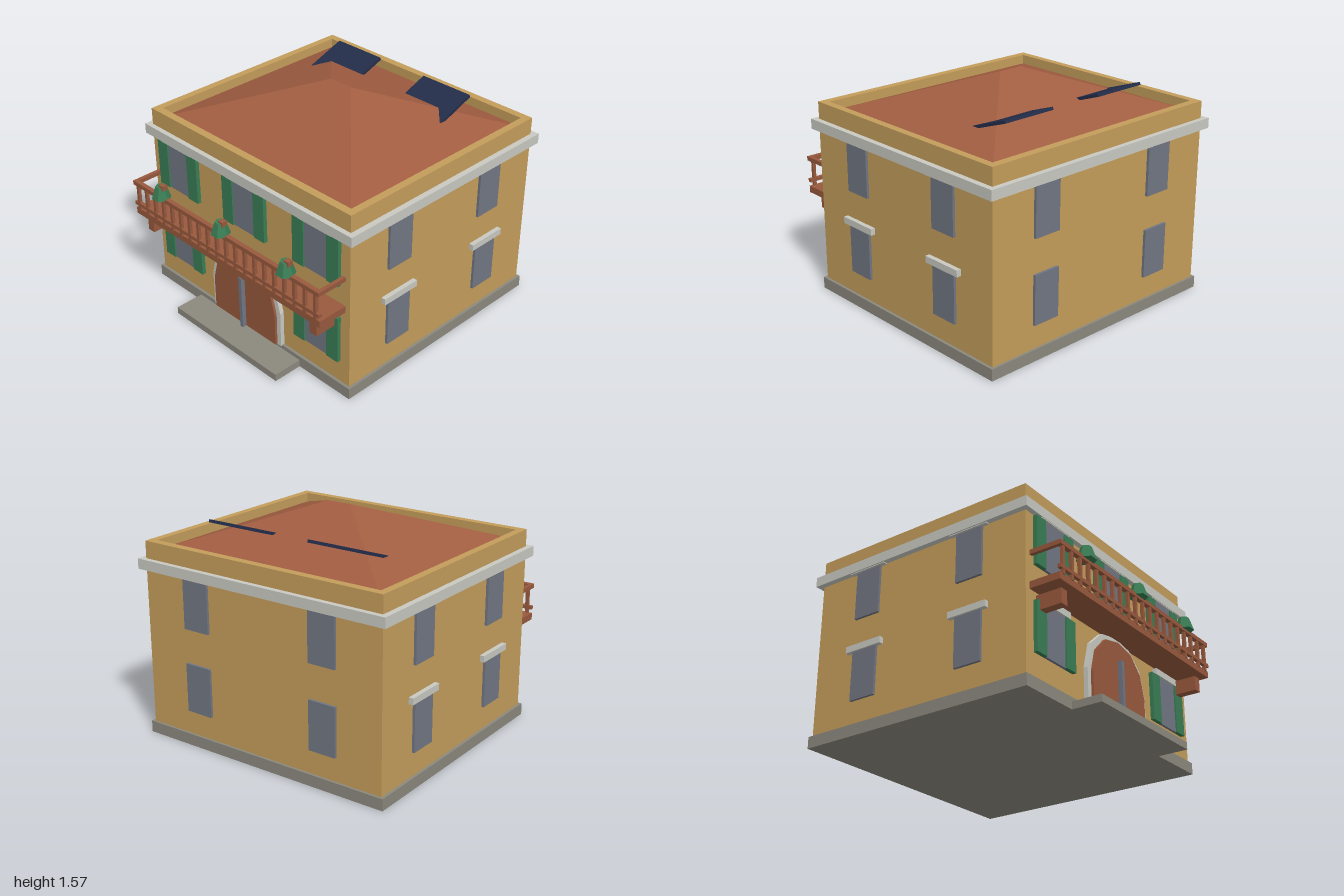
import * as THREE from 'three';

export function createModel() {
  const model = new THREE.Group();
  const mat = (name, color) => {
    const m = new THREE.MeshStandardMaterial({ color });
    m.name = name;
    return m;
  };
  const wall = mat('ochre wall', 0xc49d5b);
  const stone = mat('pale stone', 0xc9c9c2);
  const plinthGrey = mat('plinth grey', 0x8b887d);
  const glass = mat('window grey', 0x717682);
  const green = mat('shutter green', 0x3a7d55);
  const wood = mat('wood brown', 0x98593d);
  const roofRed = mat('roof terracotta', 0xa15d41);
  const panelBlue = mat('panel navy', 0x232d4a);

  const add = (name, geometry, material, parent = model) => {
    const mesh = new THREE.Mesh(geometry, material);
    mesh.name = name;
    parent.add(mesh);
    return mesh;
  };
  // Box given by its limits on each axis
  const box = (name, material, [x0, x1], [y0, y1], [z0, z1], parent) => {
    const mesh = add(name, new THREE.BoxGeometry(x1 - x0, y1 - y0, z1 - z0), material, parent);
    mesh.position.set((x0 + x1) / 2, (y0 + y1) / 2, (z0 + z1) / 2);
    return mesh;
  };
  const around = (c, half) => [c - half, c + half];

  const W = 0.93, FRONT = 0.73, BACK = -0.963, MID = (FRONT + BACK) / 2;

  // Main block
  box('plinth', plinthGrey, [-0.95, 0.95], [0, 0.08], [-0.98, 0.75]);
  box('walls', wall, [-W, W], [0.08, 1.23], [BACK, FRONT]);
  box('cornice', stone, [-0.97, 0.97], [1.163, 1.232], [-1, 0.765]);
  box('doorStep', plinthGrey, [-0.5, 0.5], [0, 0.05], [0.74, 0.96]);

  // Parapet ring
  const rect = (path, w, d) => path.moveTo(-w, -d).lineTo(w, -d).lineTo(w, d).lineTo(-w, d).closePath();
  const halfDepth = (FRONT - BACK) / 2;
  const inW = W - 0.052, inD = halfDepth - 0.055;
  const ring = rect(new THREE.Shape(), W, halfDepth);
  ring.holes.push(rect(new THREE.Path(), inW, inD));
  const parapet = add('parapet', new THREE.ExtrudeGeometry(ring, { depth: 0.12, bevelEnabled: false }), wall);
  parapet.rotation.x = -Math.PI / 2;
  parapet.position.set(0, 1.23, MID);

  // Hipped roof with a short ridge
  const eave = 1.285;
  const A = [-inW, eave, inD], B = [inW, eave, inD], C = [inW, eave, -inD], D = [-inW, eave, -inD];
  const L = [-0.09, 1.57, 0], R = [0.09, 1.57, 0];
  const faces = [A, B, R, A, R, L, B, C, R, C, D, L, C, L, R, D, A, L];
  const roofGeo = new THREE.BufferGeometry();
  roofGeo.setAttribute('position', new THREE.Float32BufferAttribute(faces.flat(), 3));
  roofGeo.computeVertexNormals();
  add('roof', roofGeo, roofRed).position.z = MID;

  // Solar panels propped on the rear slope
  for (const x of [-0.4, 0.4]) {
    const panel = add('solarPanel', new THREE.BoxGeometry(0.4, 0.02, 0.3), panelBlue);
    panel.position.set(x, 1.429, -0.57);
    panel.rotation.x = 0.345;
  }

  // Windows, built facing +z and turned onto each wall
  const floors = [0.245, 0.82];
  const makeWindow = (x, y, z, turn, lintel, shutters) => {
    const g = new THREE.Group();
    g.name = 'window';
    box('windowPane', glass, [-0.1, 0.1], [0, 0.337], [-0.01, 0.018], g);
    if (lintel) box('lintel', stone, [-0.146, 0.146], [0.337, 0.382], [-0.01, 0.032], g);
    if (shutters) {
      for (const s of [-1, 1]) box('shutter', green, around(s * 0.149, 0.049), [0, 0.337], [-0.01, 0.028], g);
    }
    g.position.set(x, y, z);
    g.rotation.y = turn;
    model.add(g);
  };
  for (const y of floors) {
    for (const x of [-0.655, 0, 0.655]) {
      if (x === 0 && y < 0.5) continue; // doorway
      makeWindow(x, y, FRONT, 0, true, true);
    }
    for (const x of [-0.5, 0.5]) makeWindow(x, y, BACK, Math.PI, false, false);
    for (const s of [-1, 1]) {
      for (const z of [0.307, -0.537]) makeWindow(s * W, y, z, s * Math.PI / 2, true, false);
    }
  }

  // Arched doorway: stone surround, door leaf and centre bar
  const arch = (half, name, material, z) => {
    const pts = [...half, ...half.slice(0, -1).reverse().map(([x, y]) => [-x, y])];
    const shape = new THREE.Shape(pts.map(([x, y]) => new THREE.Vector2(x, y)));
    add(name, new THREE.ExtrudeGeometry(shape, { depth: z - 0.72, bevelEnabled: false }), material).position.z = 0.72;
  };
  arch([[0.335, 0.075], [0.335, 0.335], [0.285, 0.515], [0.165, 0.62], [0, 0.65]], 'doorSurround', stone, 0.76);
  arch([[0.3, 0.08], [0.3, 0.32], [0.257, 0.475], [0.15, 0.583], [0, 0.615]], 'door', wood, 0.778);
  box('doorBar', glass, [-0.013, 0.013], [0.08, 0.48], [0.75, 0.81]);

  // Balcony
  const balcony = new THREE.Group();
  balcony.name = 'balcony';
  model.add(balcony);
  const BW = 0.893;
  box('balconyFloor', wood, [-BW, BW], [0.64, 0.687], [0.72, 0.947], balcony);
  box('frontHandrail', wood, [-BW, BW], [0.87, 0.9], [0.925, 0.957], balcony);
  box('lowerRail', wood, [-BW, BW], [0.715, 0.74], [0.93, 0.955], balcony);
  for (const s of [-1, 1]) {
    box('sideHandrail', wood, around(s * (BW - 0.013), 0.013), [0.87, 0.9], [0.72, 0.93], balcony);
    box('bracket', wood, around(s * 0.797, 0.03), [0.52, 0.62], [0.72, 0.91], balcony);
  }
  const count = 20;
  for (let i = 0; i < count; i++) {
    const x = -0.855 + (1.71 * i) / (count - 1);
    box('baluster', wood, around(x, 0.011), [0.68, 0.875], [0.932, 0.953], balcony);
  }

  // Six-sided planters along the handrail
  for (const x of [-0.6, 0, 0.6]) {
    const planter = new THREE.Group();
    planter.name = 'planter';
    const cone = add('planterBody', new THREE.CylinderGeometry(0.036, 0.065, 0.09, 6).toNonIndexed(), green, planter);
    cone.geometry.computeVertexNormals();
    cone.rotation.y = Math.PI / 6;
    box('planterStem', wood, [0, 0.04], [0.02, 0.057], [-0.023, 0.017], planter);
    planter.position.set(x, 0.934, 0.943);
    model.add(planter);
  }

  return model;
}
